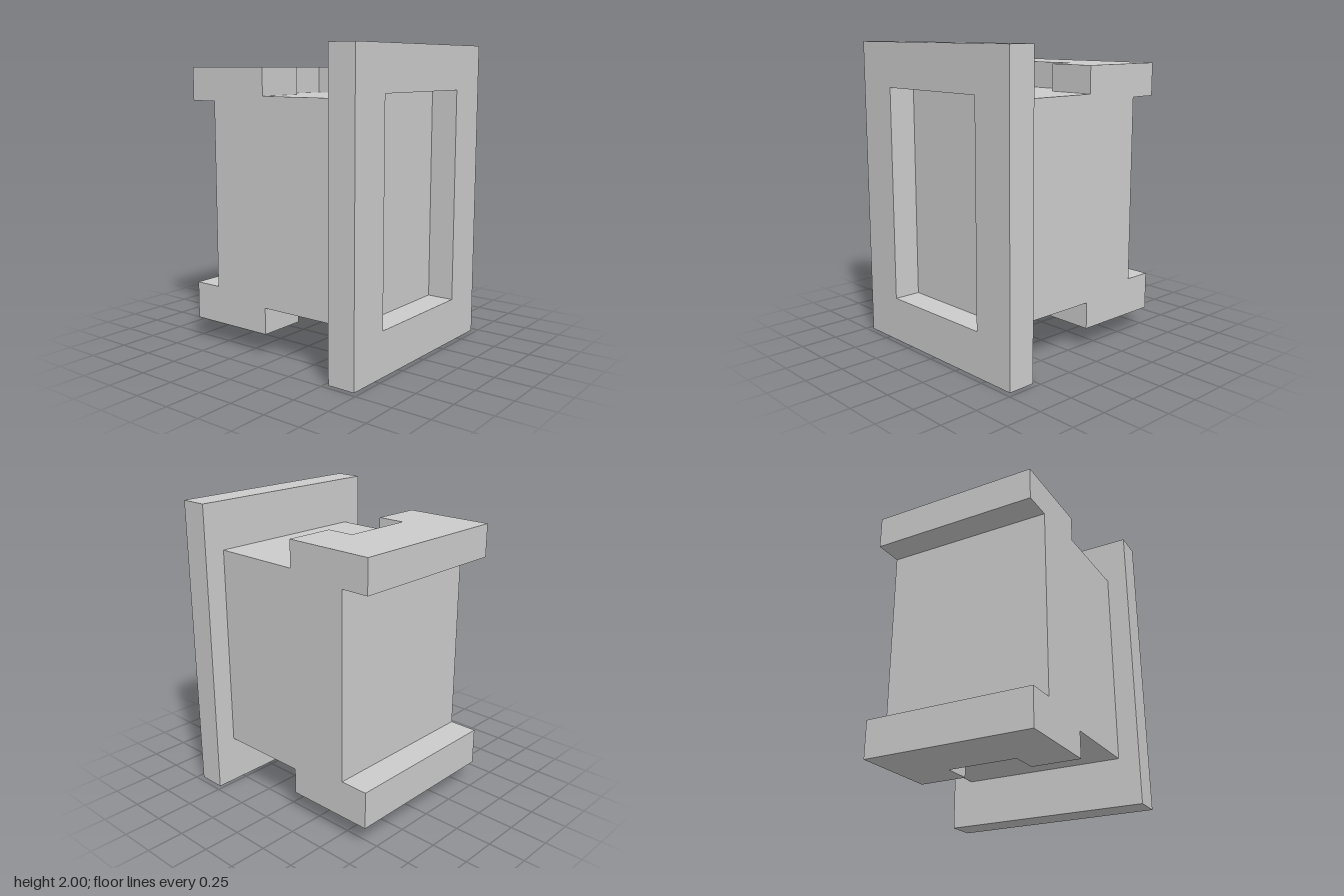
import * as THREE from 'three';

const material = new THREE.MeshStandardMaterial({ color: 0xcccccc, flatShading: true });

function polygon(points) {
  return new THREE.Shape(points.map(([x, y]) => new THREE.Vector2(x, y)));
}

function rectangle(x0, y0, x1, y1) {
  return polygon([[x0, y0], [x1, y0], [x1, y1], [x0, y1]]);
}

function extrude(shape, depth) {
  return new THREE.ExtrudeGeometry(shape, { depth, bevelEnabled: false });
}

export function createModel() {
  const group = new THREE.Group();
  const add = (name, geometry) => {
    const mesh = new THREE.Mesh(geometry, material);
    mesh.name = name;
    group.add(mesh);
  };

  const halfWidth = 0.571, front = 0.714, plateBack = 0.527, back = -0.714;
  const bodyBottom = 0.322, bodyTop = 1.682;

  // Front frame with its rectangular opening
  const frame = rectangle(-0.714, 0, 0.714, 2);
  frame.holes.push(rectangle(-0.42, 0.295, 0.42, 1.71));
  add('frontFrame', extrude(frame, front - plateBack).translate(0, 0, plateBack));

  // Thin floor closing the recess
  add('recessFloor', new THREE.BoxGeometry(0.86, 1.435, 0.004).translate(0, 1.0025, plateBack + 0.002));

  // Body with upper and lower rear lips: side profile (-z, y) extruded across x
  const body = polygon([
    [-plateBack, bodyBottom], [-back, bodyBottom], [-back, 0.397], [0.52, 0.397],
    [0.52, 1.64], [-back, 1.64], [-back, bodyTop], [-plateBack, bodyTop],
  ]);
  add('body', extrude(body, 2 * halfWidth).rotateY(Math.PI / 2).translate(-halfWidth, 0, 0));

  // Notched flanges above and below the body: plan (x, -z) extruded up
  const notch = 0.238, flangeFront = -0.098, notchBack = -0.29;
  const plan = polygon([
    [-halfWidth, -flangeFront], [-notch, -flangeFront], [-notch, -notchBack],
    [notch, -notchBack], [notch, -flangeFront], [halfWidth, -flangeFront],
    [halfWidth, -back], [-halfWidth, -back],
  ]);
  for (const [name, y0, y1] of [['topFlange', bodyTop, 1.859], ['bottomFlange', 0.146, bodyBottom]]) {
    add(name, extrude(plan, y1 - y0).rotateX(-Math.PI / 2).translate(0, y0, 0));
  }

  return group;
}
